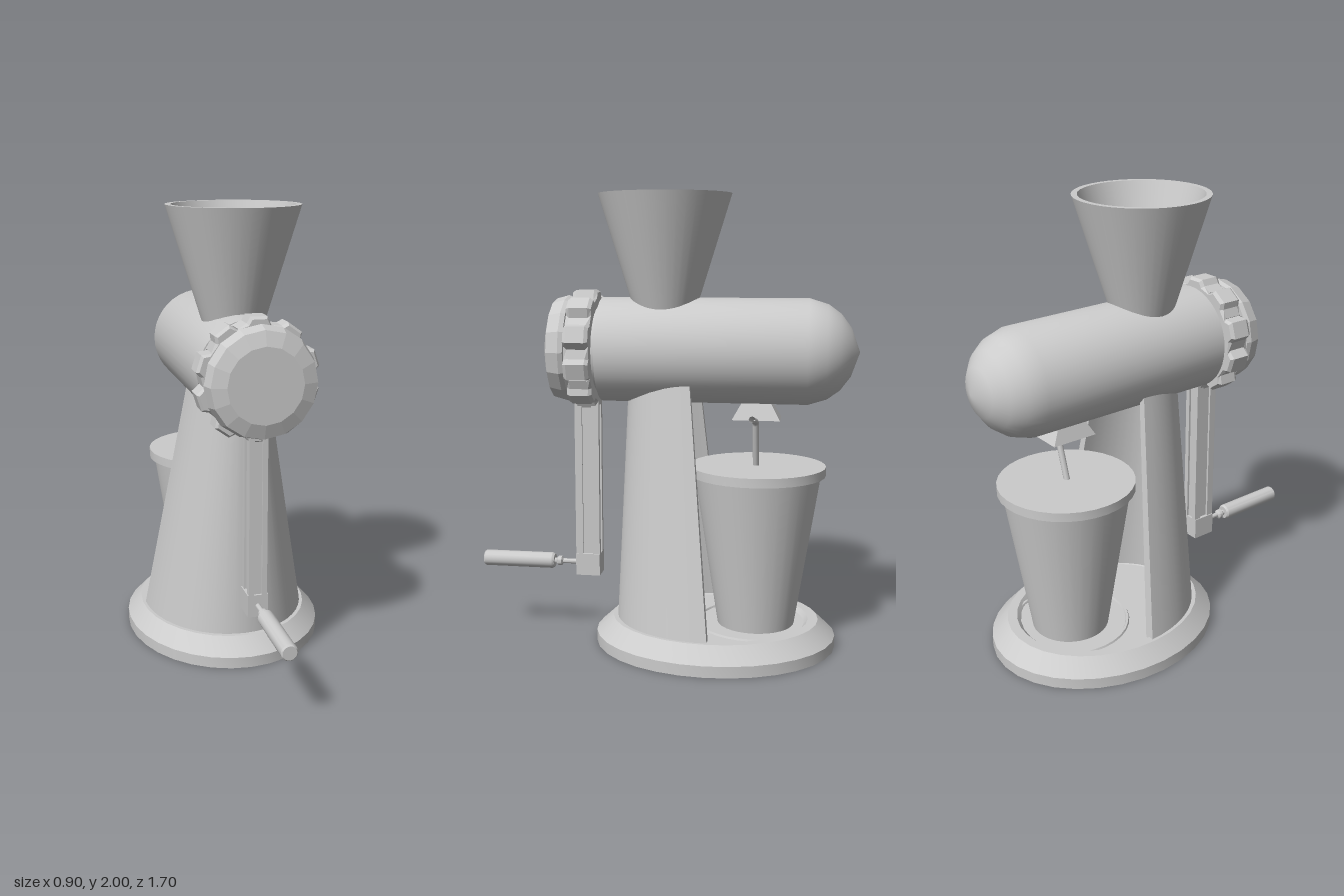
import * as THREE from 'three';
import { toCreasedNormals } from 'three/addons/utils/BufferGeometryUtils.js';

const V2 = (p) => p.map(([x, y]) => new THREE.Vector2(x, y));

export function createModel() {
  const model = new THREE.Group();
  const smooth = new THREE.MeshStandardMaterial({ color: 0xcccccc, side: THREE.DoubleSide });
  const flat = new THREE.MeshStandardMaterial({ color: 0xcccccc, side: THREE.DoubleSide, flatShading: true });

  const add = (name, geo, material = smooth, x = 0, y = 0, z = 0) => {
    const mesh = new THREE.Mesh(geo, material);
    mesh.name = name;
    mesh.position.set(x, y, z);
    model.add(mesh);
    return mesh;
  };
  // Profile is [radius, height], listed from bottom to top on the outside
  const lathe = (profile, segments = 32, crease = 0.5) =>
    toCreasedNormals(new THREE.LatheGeometry(V2(profile), segments), crease);
  // Same, turned so that the height runs along +z
  const latheZ = (profile, segments, crease) => lathe(profile, segments, crease).rotateX(Math.PI / 2);

  // Oval base: hollow underneath, chamfered rim, sunken tray
  const base = lathe([[0.41, 0], [0.45, 0], [0.45, 0.05], [0.387, 0.12], [0.35, 0.12],
    [0.335, 0.1], [0, 0.1]]);
  add('base', base.scale(1, 1, 1.2), smooth, 0, 0, -0.23);
  add('cupRing', lathe([[0.27, 0.098], [0.265, 0.108], [0.255, 0.108], [0.25, 0.098]]), smooth, 0, 0, -0.415);

  // Stand: a tapering half-oval shell, open at the back
  const levels = [
    { y: 0.11, rx: 0.375, rz: 0.448, z: -0.235, t: 0.045 },
    { y: 1.22, rx: 0.178, rz: 0.29, z: -0.13, t: 0.03 },
  ];
  const arcSteps = 24, pos = [], index = [];
  for (const l of levels) {
    for (const inset of [0, l.t]) {
      for (let i = 0; i <= arcSteps; i++) {
        const a = (i / arcSteps) * Math.PI;
        pos.push((l.rx - inset) * Math.cos(a), l.y, l.z + (l.rz - inset) * Math.sin(a));
      }
    }
  }
  const n = arcSteps + 1;
  const quad = (a, b, c, d) => index.push(a, b, c, a, c, d);
  for (let i = 0; i < arcSteps; i++) {
    quad(i + 1, i, 2 * n + i, 2 * n + i + 1);
    quad(n + i, n + i + 1, 3 * n + i + 1, 3 * n + i);
    quad(i, i + 1, n + i + 1, n + i);
    quad(2 * n + i + 1, 2 * n + i, 3 * n + i, 3 * n + i + 1);
  }
  quad(0, n, 3 * n, 2 * n);
  quad(2 * n - 1, n - 1, 3 * n - 1, 4 * n - 1);
  const stand = new THREE.BufferGeometry();
  stand.setAttribute('position', new THREE.Float32BufferAttribute(pos, 3));
  stand.setIndex(index);
  add('stand', toCreasedNormals(stand, 0.6));

  // Horizontal body with a slightly pointed dome at the back
  const axis = 1.325;
  add('body', latheZ([[0, -0.847], [0.105, -0.81], [0.165, -0.765], [0.205, -0.71],
    [0.23, -0.63], [0.23, 0.275], [0, 0.275]], 40, 0.7), smooth, 0, axis);
  add('neck', new THREE.CylinderGeometry(0.19, 0.19, 0.2, 32).rotateX(Math.PI / 2), smooth, 0, axis, 0.35);

  // Scalloped locking ring
  const lobes = 10, ring = [];
  for (let i = 0; i < lobes; i++) {
    const mid = Math.PI / 2 + (i / lobes) * Math.PI * 2;
    for (const [da, r] of [[-0.19, 0.248], [-0.12, 0.252], [0.12, 0.252], [0.19, 0.23], [0.44, 0.23]]) {
      const rr = Math.abs(da) > 0.15 ? 0.23 : r;
      ring.push([rr * Math.cos(mid + da), rr * Math.sin(mid + da)]);
    }
  }
  const ringGeo = new THREE.ExtrudeGeometry(new THREE.Shape(V2(ring)), {
    depth: 0.08, bevelEnabled: true, bevelThickness: 0.015, bevelSize: 0.01, bevelSegments: 1 });
  add('lockingRing', ringGeo, flat, 0, axis, 0.31);

  // Faceted front cap
  add('frontCap', new THREE.LatheGeometry(V2([[0, 0.41], [0.23, 0.41], [0.237, 0.43],
    [0.222, 0.485], [0.16, 0.505], [0, 0.505]]), 16).rotateX(Math.PI / 2), flat, 0, axis);

  // Hopper with a thin wall, open at the top
  add('hopper', lathe([[0.13, 1.48], [0.29, 2], [0.265, 2], [0.115, 1.52]], 40));

  // Crank arm: a beam grooved on its four sides, with a solid foot
  const beam = [];
  for (const [sx, sz] of [[1, 1], [-1, 1], [-1, -1], [1, -1]]) {
    const corner = [[0.025, 0.025], [0.04, 0.025], [0.04, 0.052]].map(([x, z]) => [x * sx, z * sz]);
    const pts = [[0.04 * sx, 0.022 * sz], [0.04 * sx, 0.055 * sz], [0.018 * sx, 0.055 * sz], [0.018 * sx, 0.045 * sz]];
    pts[0] = [0.03 * sx, 0.022 * sz];
    pts.splice(1, 0, [corner[1][0], 0.022 * sz]);
    beam.push(...(sx * sz > 0 ? pts : pts.reverse()));
  }
  const armGeo = new THREE.ExtrudeGeometry(new THREE.Shape(V2(beam)), { depth: 0.8, bevelEnabled: false });
  add('crankArm', armGeo.rotateX(-Math.PI / 2), flat, 0, 0.33, 0.35);
  add('crankFoot', new THREE.BoxGeometry(0.09, 0.1, 0.11), flat, 0, 0.34, 0.35);

  // Crank handle: pin, collar and grip
  add('crankHandle', latheZ([[0, 0.4], [0.011, 0.4], [0.011, 0.475], [0.022, 0.482], [0.022, 0.498],
    [0.013, 0.507], [0.013, 0.515], [0.03, 0.515], [0.036, 0.525], [0.036, 0.843], [0.03, 0.85], [0, 0.85]],
  20), smooth, 0, 0.34);

  // Flared outlet under the body
  const outlet = new THREE.CylinderGeometry(0.06, 0.105, 0.08, 4, 1, true, Math.PI / 4);
  outlet.scale(Math.SQRT2 * 0.65, 1, Math.SQRT2);
  add('outlet', outlet, flat, 0, 1.068, -0.408);

  // Cup with lid and bent straw
  add('cup', lathe([[0, 0.1], [0.172, 0.1], [0.28, 0.79], [0, 0.79]]), smooth, 0, 0, -0.415);
  add('cupLid', lathe([[0, 0.78], [0.3, 0.78], [0.3, 0.82], [0, 0.82]]), smooth, 0, 0, -0.415);
  const strawPath = new THREE.CurvePath();
  const [foot, bend, tip] = [[0, 0.8], [0.07, 1.025], [0.29, 1.067]].map(([x, y]) => new THREE.Vector3(x, y, -0.408));
  const before = foot.clone().lerp(bend, 0.92), after = bend.clone().lerp(tip, 0.08);
  strawPath.add(new THREE.LineCurve3(foot, before));
  strawPath.add(new THREE.QuadraticBezierCurve3(before, bend, after));
  strawPath.add(new THREE.LineCurve3(after, tip));
  add('straw', new THREE.TubeGeometry(strawPath, 40, 0.014, 8));
  return model;
}
